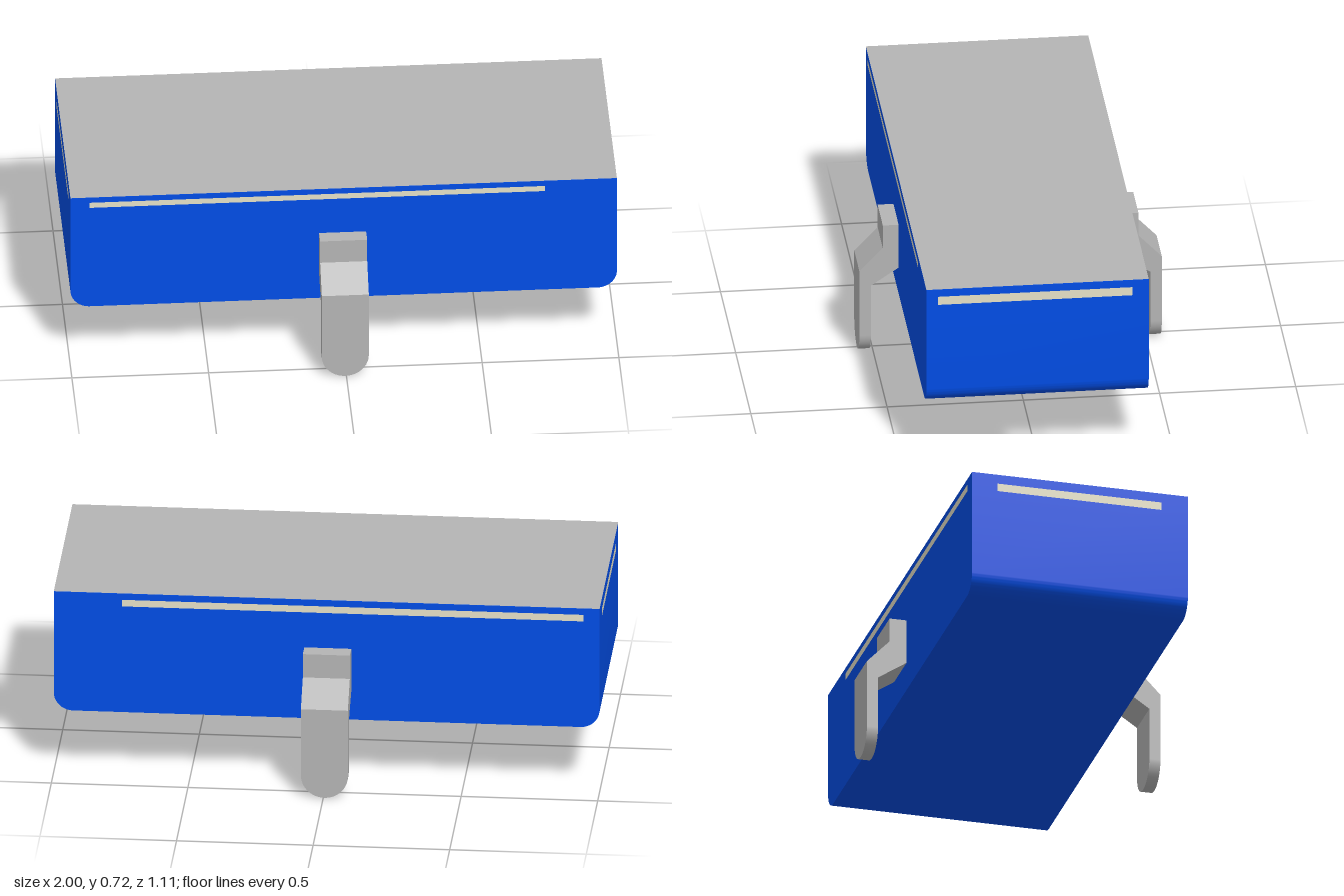
import * as THREE from 'three';
import { toCreasedNormals } from 'three/addons/utils/BufferGeometryUtils.js';

const material = (name, color) => {
  const m = new THREE.MeshStandardMaterial({ color });
  m.name = name;
  return m;
};

export function createModel() {
  const blue = material('blue', 0x004de6);
  const grey = material('grey', 0xb4b4b4);
  const cream = material('cream', 0xe5e1c7);
  const model = new THREE.Group();
  model.name = 'lampBox';

  const add = (parent, name, geometry, mat, x = 0, y = 0, z = 0) => {
    const mesh = new THREE.Mesh(geometry, mat);
    mesh.name = name;
    mesh.position.set(x, y, z);
    parent.add(mesh);
    return mesh;
  };

  // Body: long box with rounded lower end edges
  const w = 0.999, d = 0.408, zMid = 0.003, bottom = 0.25, top = 0.719, r = 0.07;
  const outline = new THREE.Shape();
  outline.moveTo(-w, top);
  outline.lineTo(-w, bottom + r);
  outline.absarc(-w + r, bottom + r, r, Math.PI, Math.PI * 1.5, false);
  outline.lineTo(w - r, bottom);
  outline.absarc(w - r, bottom + r, r, Math.PI * 1.5, Math.PI * 2, false);
  outline.lineTo(w, top);
  outline.closePath();
  const bodyGeometry = new THREE.ExtrudeGeometry(outline, { depth: 2 * d, bevelEnabled: false, curveSegments: 10 });
  bodyGeometry.translate(0, 0, -d);
  add(model, 'body', toCreasedNormals(bodyGeometry, 0.6), blue, 0, 0, zMid);

  // Flat lid face
  const lidGeometry = new THREE.PlaneGeometry(2 * w, 2 * d).rotateX(-Math.PI / 2);
  add(model, 'lid', lidGeometry, grey, 0, top + 0.001, zMid);

  // Thin pale stripes just below the lid: side, turn, length, height, centre
  const gap = 0.001;
  for (const [side, turn, length, height, x, y, z] of [
    ['front', 0, 1.665, 0.022, -0.097, 0.687, zMid + d + gap],
    ['back', Math.PI, 1.69, 0.026, -0.095, 0.682, zMid - d - gap],
    ['right', Math.PI / 2, 0.715, 0.033, w + gap, 0.674, 0.012],
    ['left', -Math.PI / 2, 0.62, 0.03, -w - gap, 0.668, 0],
  ]) {
    add(model, side + 'Stripe', new THREE.PlaneGeometry(length, height), cream, x, y, z).rotation.y = turn;
  }

  // Cranked bracket: side profile (z, y) plus a half-round foot
  const legRadius = 0.086, outer = 0.555, inner = 0.513;
  const profile = new THREE.Shape([
    [0.4, 0.53], [0.4, 0.363], [0.41, 0.356], [inner, 0.287], [inner, legRadius],
    [outer, legRadius], [outer, 0.348], [0.469, 0.438], [0.469, 0.53],
  ].map(([z, y]) => new THREE.Vector2(z, y)));
  const armGeometry = new THREE.ExtrudeGeometry(profile, { depth: 2 * legRadius, bevelEnabled: false });
  armGeometry.rotateY(-Math.PI / 2).translate(legRadius, 0, 0);
  const footGeometry = new THREE.CylinderGeometry(
    legRadius, legRadius, outer - inner, 20, 1, false, -Math.PI / 2, Math.PI);
  footGeometry.rotateX(Math.PI / 2);

  for (const side of ['front', 'back']) {
    const bracket = new THREE.Group();
    bracket.name = side + 'Bracket';
    add(bracket, side + 'Arm', armGeometry, grey);
    add(bracket, side + 'Foot', footGeometry, grey, 0, legRadius, (outer + inner) / 2);
    bracket.position.x = -0.004;
    if (side === 'back') bracket.rotation.y = Math.PI;
    model.add(bracket);
  }
  return model;
}
